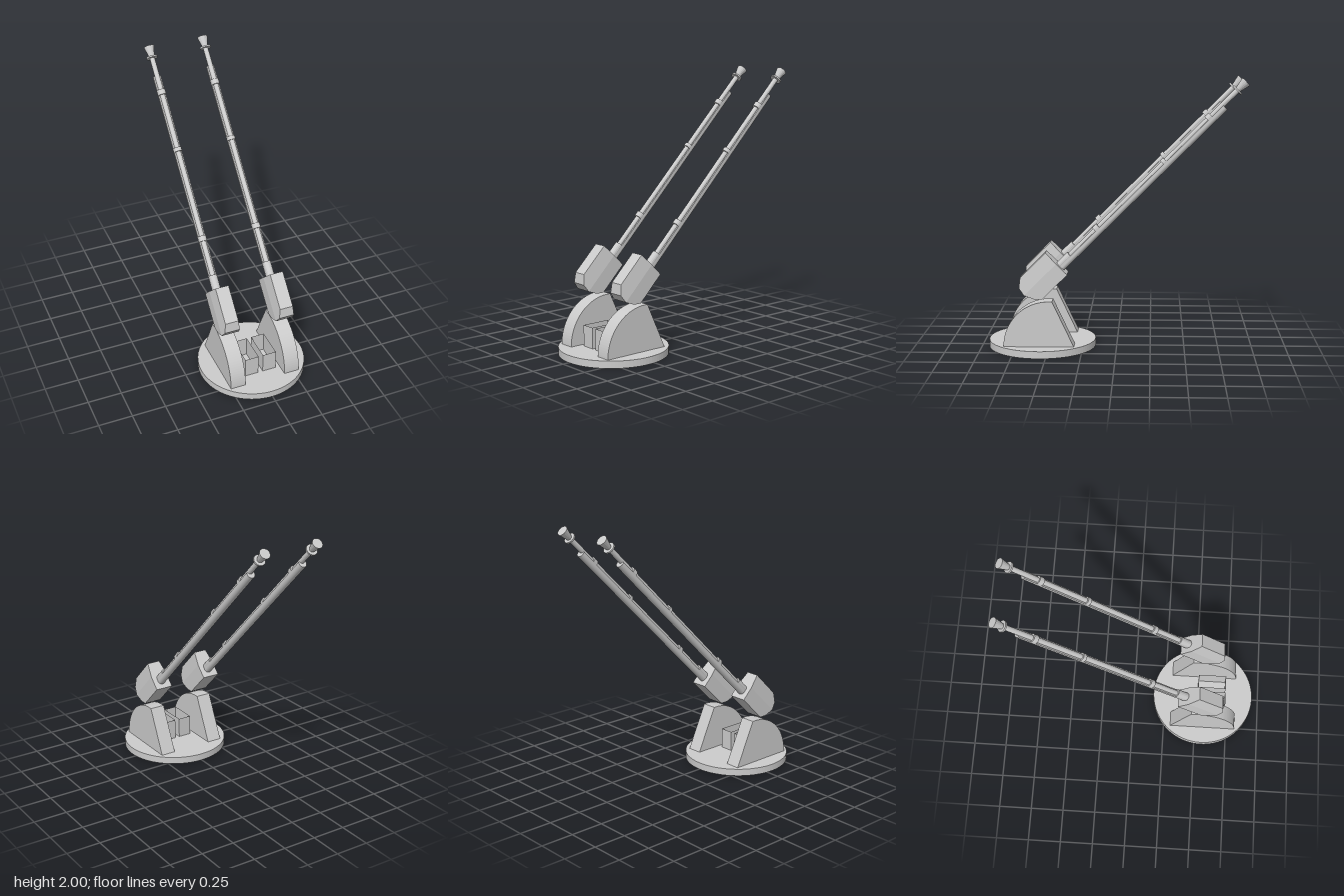
import * as THREE from 'three';

const material = new THREE.MeshStandardMaterial({ color: 0xcccccc, flatShading: true });
const thinMaterial = new THREE.MeshStandardMaterial({ color: 0xcccccc, flatShading: true, side: THREE.DoubleSide });

function add(parent, name, geometry, x = 0, y = 0, z = 0) {
  const mesh = new THREE.Mesh(geometry, material);
  mesh.name = name;
  mesh.position.set(x, y, z);
  parent.add(mesh);
  return mesh;
}

// Extrudes a side outline, given as (z, y), to a width centred on x = 0
function sidePlate(shape, width) {
  const geometry = new THREE.ExtrudeGeometry(shape, { depth: width, bevelEnabled: false, curveSegments: 14 });
  geometry.translate(0, 0, -width / 2);
  geometry.rotateY(-Math.PI / 2);
  return geometry;
}

// Extrudes a plan outline, given as (x, z), downward from y = top
function slab(shape, height, top) {
  const geometry = new THREE.ExtrudeGeometry(shape, { depth: height, bevelEnabled: false, curveSegments: 48 });
  geometry.rotateX(Math.PI / 2);
  geometry.translate(0, top, 0);
  return geometry;
}

// Half of the gun housing; its sides lean inward above the crease
const CREASE = 0.775;
function housingHalf(points) {
  const shape = new THREE.Shape(points.map(([z, y]) => new THREE.Vector2(z, y)));
  const geometry = sidePlate(shape, 2);
  const p = geometry.attributes.position;
  for (let i = 0; i < p.count; i++) {
    const lean = Math.max(0, p.getZ(i) - CREASE) / 0.11;
    p.setX(i, p.getX(i) * (0.067 - 0.017 * lean));
  }
  geometry.computeVertexNormals();
  return geometry;
}

// Cylinder along the gun from y0 to y1
function rod(parent, name, r0, r1, y0, y1, z) {
  return add(parent, name, new THREE.CylinderGeometry(r1, r0, y1 - y0, 16), 0, (y0 + y1) / 2, z);
}

// One gun: local y runs along the barrel, local z is its upper side
function createGun() {
  const gun = new THREE.Group();
  gun.name = 'gun';
  add(gun, 'housingLower', housingHalf([
    [0.663, 0.171], [CREASE, 0.171], [CREASE, -0.159], [0.704, -0.126], [0.663, -0.085],
  ]));
  add(gun, 'housingUpper', housingHalf([
    [CREASE, 0.171], [0.885, 0.171], [0.885, -0.09], [0.838, -0.149], [CREASE, -0.159],
  ]));

  // Round-bottomed, flat-topped cradle under the barrel
  const cradle = new THREE.Shape();
  cradle.moveTo(0.029, 0.741);
  cradle.lineTo(-0.029, 0.741);
  cradle.lineTo(-0.029, 0.726);
  cradle.absarc(0, 0.726, 0.029, Math.PI, Math.PI * 2, false);
  cradle.closePath();
  add(gun, 'cradle', slab(cradle, 1.66, 1.81));

  const axis = 0.745;
  rod(gun, 'barrel', 0.019, 0.019, 0.15, 1.97, axis);
  for (const [start, end] of [[0.15, 0.28], [0.535, 0.575], [1.22, 1.25], [1.66, 1.7]]) {
    rod(gun, 'barrelBand', 0.03, 0.03, start, end, axis);
  }
  rod(gun, 'muzzleRing', 0.042, 0.042, 1.948, 1.96, axis);
  rod(gun, 'muzzleFlare', 0.019, 0.039, 1.955, 2.04, axis);

  gun.rotation.x = -Math.PI / 4;
  return gun;
}

export function createModel() {
  const model = new THREE.Group();
  model.name = 'twinGunTurret';
  const sides = [-1, 1];

  // Round base with slots that receive the supports
  const base = new THREE.Shape();
  base.absarc(0, 0.553, 0.396, 0, Math.PI * 2, false);
  for (const side of sides) {
    const [x0, x1] = [side * 0.212 - 0.057, side * 0.212 + 0.057];
    const slot = [[x0, 0.303], [x0, 0.815], [x1, 0.815], [x1, 0.303]];
    base.holes.push(new THREE.Path(slot.map(([x, z]) => new THREE.Vector2(x, z))));
  }
  add(model, 'base', slab(base, 0.053, 0.053));

  // Support outline: rounded front, flat top, sloping back
  const support = new THREE.Shape();
  support.moveTo(0.303, 0.025);
  support.lineTo(0.815, 0.025);
  support.lineTo(0.815, 0.053);
  support.absellipse(0.485, 0.053, 0.33, 0.335, 0, Math.PI / 2, false);
  support.lineTo(0.46, 0.388);
  support.lineTo(0.303, 0.053);
  support.closePath();
  const supportGeometry = sidePlate(support, 0.114);

  // Thin-walled box, open at the top
  const boxGeometry = new THREE.CylinderGeometry(Math.SQRT1_2, Math.SQRT1_2, 0.154, 4, 1, true);
  boxGeometry.rotateY(Math.PI / 4);
  boxGeometry.scale(0.102, 1, 0.216);

  for (const side of sides) {
    add(model, 'support', supportGeometry, side * 0.212);
    add(model, 'openBox', boxGeometry, side * 0.069, 0.13, 0.621).material = thinMaterial;
    const gun = createGun();
    gun.position.x = side * 0.212;
    model.add(gun);
  }
  return model;
}
